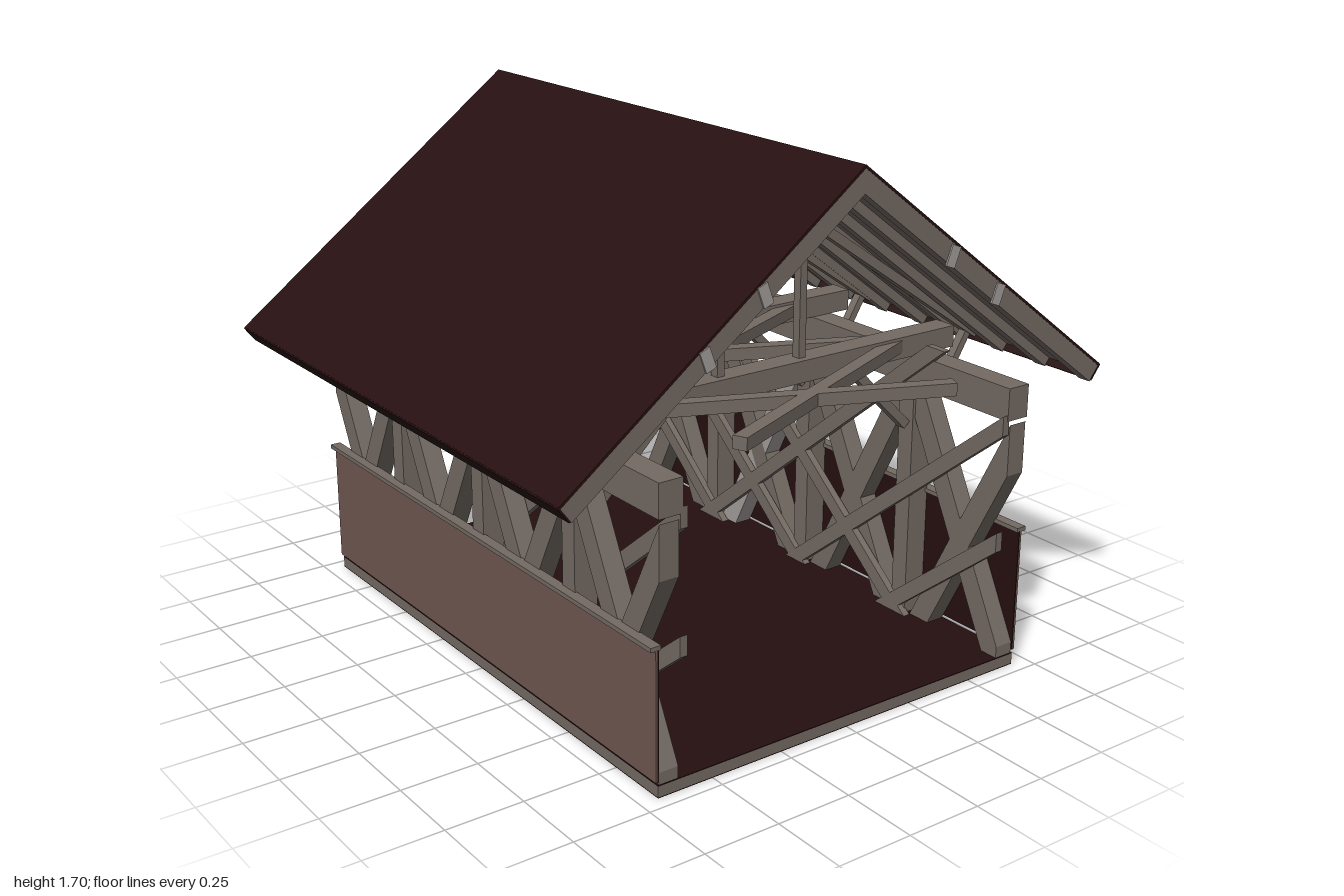
import * as THREE from 'three';

const mat = (name, color) => {
  const m = new THREE.MeshStandardMaterial({ color });
  m.name = name;
  return m;
};

export function createModel() {
  const wood = mat('weathered timber', 0x736a63);
  const pale = mat('pale timber', 0xa39d9b);
  const dark = mat('dark red brown', 0x260f10);
  const siding = mat('siding brown', 0x6e5750);
  const model = new THREE.Group();
  const Z = 0.955;
  const frames = [-0.51, 0, 0.51];

  const add = (name, geo, m) => {
    const mesh = new THREE.Mesh(geo, m);
    mesh.name = name;
    model.add(mesh);
    return mesh;
  };
  // box given by its min and max on each axis
  const box = (name, x0, x1, y0, y1, z0, z1, m = wood) =>
    add(name, new THREE.BoxGeometry(x1 - x0, y1 - y0, z1 - z0), m)
      .position.set((x0 + x1) / 2, (y0 + y1) / 2, (z0 + z1) / 2);
  // polygon in the x-y plane, extruded from z0 to z1
  const slab = (name, pts, z0, z1, m = wood) => {
    const shape = new THREE.Shape(pts.map(p => new THREE.Vector2(...p)));
    const geo = new THREE.ExtrudeGeometry(shape, { depth: z1 - z0, bevelEnabled: false });
    return add(name, geo.translate(0, 0, z0), m);
  };
  // bar between two x-y points, thickness w, centred on z with depth d
  const bar = (name, a, b, w, z, d, m = wood) => {
    const dx = b[0] - a[0], dy = b[1] - a[1], l = Math.hypot(dx, dy);
    const nx = -dy / l * w / 2, ny = dx / l * w / 2;
    slab(name, [[a[0] + nx, a[1] + ny], [b[0] + nx, b[1] + ny],
      [b[0] - nx, b[1] - ny], [a[0] - nx, a[1] - ny]], z - d / 2, z + d / 2, m);
  };
  // keep the part of a polygon where axis value * sign <= limit
  const clip = (pts, axis, sign, limit) => {
    const out = [];
    pts.forEach((p, i) => {
      const q = pts[(i + 1) % pts.length];
      const a = p[axis] * sign - limit, b = q[axis] * sign - limit;
      if (a <= 0) out.push(p);
      if (a * b < 0) {
        const t = a / (a - b);
        out.push([p[0] + (q[0] - p[0]) * t, p[1] + (q[1] - p[1]) * t]);
      }
    });
    return out;
  };
  // truss member in the z-y plane, trimmed to the bay ends and chords
  const strut = (name, a, b, w, x0, x1, top, m = wood) => {
    const dz = b[0] - a[0], dy = b[1] - a[1], l = Math.hypot(dz, dy);
    const ez = dz / l * 0.1, ey = dy / l * 0.1;
    const nz = -dy / l * w / 2, ny = dz / l * w / 2;
    let pts = [[a[0] - ez + nz, a[1] - ey + ny], [b[0] + ez + nz, b[1] + ey + ny],
      [b[0] + ez - nz, b[1] + ey - ny], [a[0] - ez - nz, a[1] - ey - ny]];
    pts = clip(pts, 0, 1, Z - 0.002);
    pts = clip(pts, 0, -1, Z - 0.002);
    pts = clip(pts, 1, 1, top);
    pts = clip(pts, 1, -1, -0.04);
    if (pts.length < 3) return;
    const shape = new THREE.Shape(pts.map(p => new THREE.Vector2(...p)));
    const geo = new THREE.ExtrudeGeometry(shape, { depth: x1 - x0, bevelEnabled: false });
    add(name, geo.rotateY(-Math.PI / 2).translate(x1, 0, 0), m);
  };

  // floor with dark faces above and below
  box('floor', -0.69, 0.69, 0.003, 0.037, -Z, Z);
  box('floorTop', -0.69, 0.69, 0.037, 0.04, -Z, Z, dark);
  box('floorUnderside', -0.69, 0.69, 0, 0.003, -Z, Z, dark);

  for (const s of [-1, 1]) {
    const span = (a, b) => s > 0 ? [a, b] : [-b, -a];

    // low side wall and its cap rail
    box('siding', ...span(0.692, 0.698), 0.05, 0.458, -Z, Z, siding);
    box('sidingInside', ...span(0.688, 0.692), 0.05, 0.458, -Z, Z, dark);
    box('capRail', ...span(0.68, 0.715), 0.454, 0.468, -Z, Z);

    // top plate
    box('topPlate', ...span(0.607, 0.688), 0.835, 0.94, -Z, Z);

    // posts and steep braces fanning from each post head
    const [p0, p1] = span(0.61, 0.687);
    for (const z of frames) box('trussPost', p0, p1, 0.04, 0.835, z - 0.032, z + 0.032);
    for (const z of [-1.02, ...frames, 1.02])
      for (const d of [-1, 1])
        strut('steepBrace', [z + d * 0.02, 0.83], [z + d * 0.42, 0.04], 0.075,
          ...span(0.62, 0.685), 0.835, s > 0 && z === 0 && d < 0 ? pale : wood);

    // long diagonals on the inner face, crossing between posts
    for (const d of [-1, 1])
      for (const foot of [-0.51, 0, 0.47])
        strut('longBrace', [d * foot, 0.05], [d * (foot + 1.16), 0.99], 0.05,
          ...span(0.59, 0.615), 0.99);

    // knee braces inside and out, king struts and inner rafters
    for (const z of frames) {
      bar('innerKnee', [s * 0.6, 0.7], [s * 0.345, 0.95], 0.03, z, 0.035);
      bar('outerKnee', [s * 0.685, 0.69], [s * 0.865, 0.985], 0.025, z, 0.03);
      bar('roofStrut', [s * 0.155, 1.0], [s * 0.155, 1.45], 0.026, z, 0.03);
      bar('innerRafter', [0, 1.555], [s * 0.89, 0.957], 0.03, z, 0.04);
    }

    // roof: dark cover, boarded deck, rafters and eave strip
    const layer = (t0, t1) => [[0, 1.7 - t0 * 1.253], [s * (1 - t0 * 0.603), 0.945 - t0 * 0.798],
      [s * (1 - t1 * 0.603), 0.945 - t1 * 0.798], [0, 1.7 - t1 * 1.253]];
    slab('roofCover', layer(0, 0.008), -Z, Z, dark);
    slab('roofDeck', layer(0.008, 0.035), -Z + 0.001, Z - 0.001);
    for (let i = 0; i < 11; i++) {
      const z = -0.932 + i * 0.1864;
      slab('rafter', layer(0.035, 0.065), z - 0.022, z + 0.022);
    }
    bar('eaveStrip', [s * 1.0, 0.943], [s * 0.965, 0.897], 0.006, 0, 2 * Z, dark);

    // pale blocks let into the gable ends
    for (const x of [0.335, 0.525])
      for (const e of [-1, 1]) {
        const y = 1.7 - 0.755 * x;
        bar('paleBlock', [s * (x + 0.018), y - 0.025], [s * (x - 0.005), y - 0.085], 0.035,
          e * (Z + 0.001), 0.006, pale);
      }
  }

  // tie beams across each frame
  for (const z of frames) box('tieBeam', -0.765, 0.765, 0.94, 1.01, z - 0.04, z + 0.04);

  // crossed lateral bracing between the ties
  const lateral = (z0, z1, x0, x1, m = wood) => {
    const l = Math.hypot(x1 - x0, z1 - z0);
    const mesh = add('lateralBrace', new THREE.BoxGeometry(l, 0.04, 0.045), m);
    mesh.position.set((x0 + x1) / 2, 0.98, (z0 + z1) / 2);
    mesh.rotation.y = -Math.atan2(z1 - z0, x1 - x0);
  };
  for (const s of [-1, 1]) {
    lateral(0, 0.51, -s * 0.58, s * 0.58);
    lateral(-0.51, 0, -s * 0.58, s * 0.58, s > 0 ? pale : wood);
    for (const e of [-1, 1]) lateral(e * 0.51, e * 0.93, s * 0.58, -s * 0.4);
  }
  return model;
}
